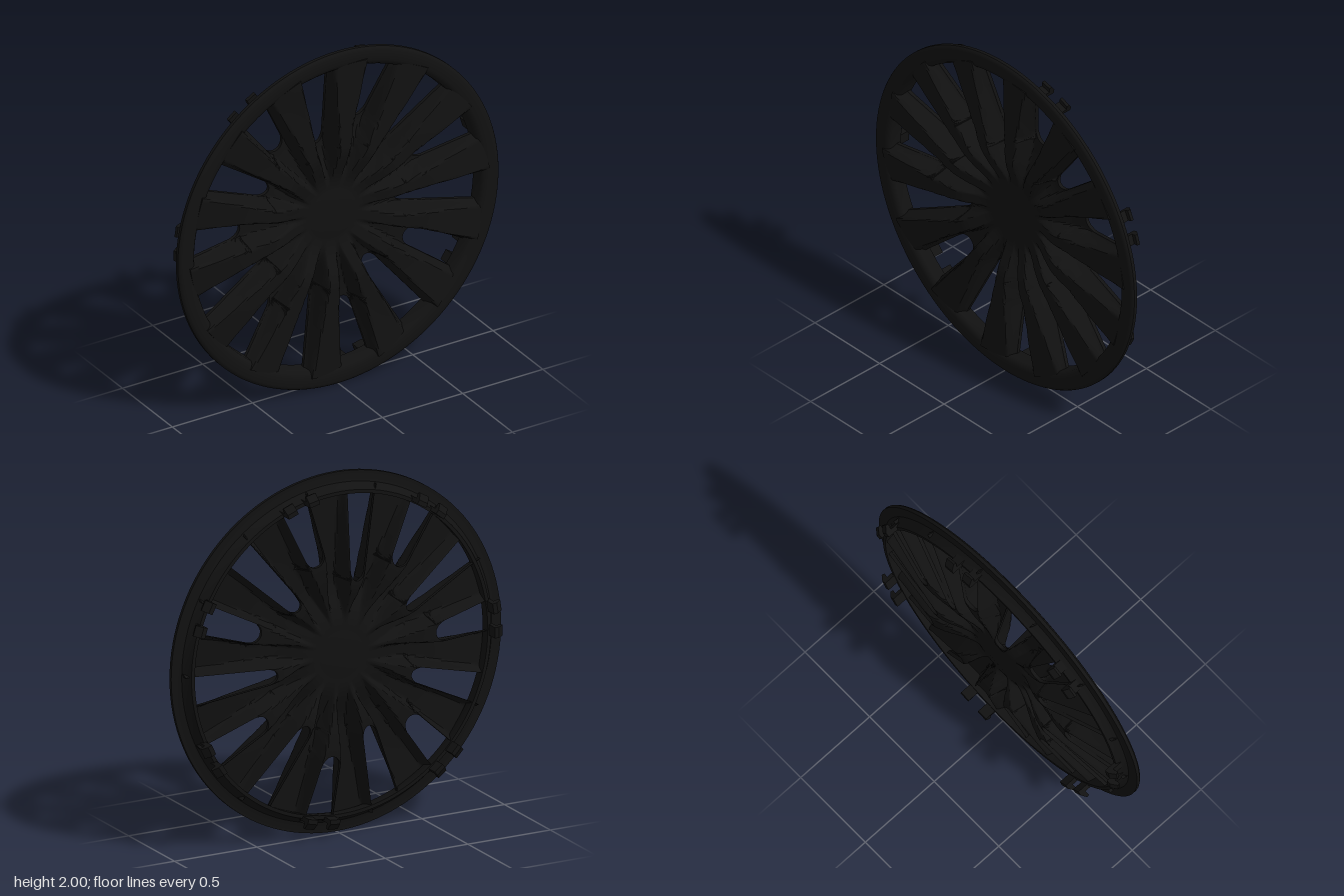
import * as THREE from 'three';
import { toCreasedNormals } from 'three/addons/utils/BufferGeometryUtils.js';

const DEG = Math.PI / 180;
const STEP = 360 / 14;      // angle between windows
const FIRST = -4.7;         // centre of the first (long) window
const HALF = 5.3;           // half angle of a window
const smooth = (a, b, x) => THREE.MathUtils.smoothstep(x, a, b);
const mix = THREE.MathUtils.lerp;

// Long and short windows alternate
const innerRadius = i => (i % 2 === 0 ? 0.42 : 0.55);

// Half angle of the opening, with a rounded inner end
function opening(r, r0) {
  if (r <= r0) return 0;
  const t = Math.min(1, (r - r0) / 0.06);
  return HALF * Math.sqrt(1 - (1 - t) ** 2);
}

// Half angle and depth of the valley leading from the hub into a window
const valley = (r, r0) => Math.max(opening(r, r0), HALF * smooth(0.12, r0 + 0.06, r));
function floor(r, r0) {
  const deep = r0 < 0.5 ? -0.064 : -0.05;
  return r < r0 + 0.03 ? deep * smooth(0.18, r0, r) : mix(deep, 0.012, Math.min(1, (r - r0 - 0.03) / (0.86 - r0)));
}

// One spoke: lofted closed sections from the hub to the slanted tip
function spokeGeometry(i) {
  const rows = [];
  for (let r = 0.1; r < 0.41; r += 0.03) rows.push(r);
  for (const r0 of [0.42, 0.55]) for (const d of [0, 0.003, 0.008, 0.016, 0.027, 0.042, 0.06, 0.09]) rows.push(r0 + d);
  for (let r = 0.68; r < 0.925; r += 0.03) rows.push(r);
  const N = 24, M = 2 * (N + 1), pos = [], idx = [];
  const cwCentre = FIRST + STEP * i, ccwCentre = cwCentre + STEP;
  const r0cw = innerRadius(i), r0ccw = innerRadius(i + 1);

  for (const row of rows) {
    const section = [];
    for (let j = 0; j <= N; j++) {
      const u = 0.5 - 0.5 * Math.cos(Math.PI * j / N);
      const tip = mix(0.938, 0.905, u);
      const r = row < 0.8 ? row : 0.8 + (row - 0.8) * (tip - 0.8) / 0.12;
      const a = mix(cwCentre + opening(row, r0cw), ccwCentre - opening(row, r0ccw), u);
      // crown of the spoke, tilted so the clockwise side stands proud
      const tilt = (0.5 - u) * 0.024 * smooth(0.4, 0.9, r);
      let z = 0.068 * smooth(0.16, 0.42, r) + tilt;
      // side walls falling into the neighbouring valleys
      const width = Math.min(0.03, r * 0.09);
      const dCw = r * DEG * (a - cwCentre - valley(row, r0cw));
      const dCcw = r * DEG * (ccwCentre - valley(row, r0ccw) - a);
      const top = z;
      z -= (top - floor(r, r0cw)) * (1 - smooth(0, width, dCw));
      z -= (top - floor(r, r0ccw)) * (1 - smooth(0, width, dCcw));
      section.push([r * Math.cos(a * DEG), r * Math.sin(a * DEG), z]);
    }
    section.forEach(p => pos.push(...p));
    section.reverse().forEach(([x, y, z]) => pos.push(x, y, z - 0.02));
  }
  for (let k = 0; k < rows.length - 1; k++) {
    for (let j = 0; j < M; j++) {
      const n = (j + 1) % M, a = k * M + j, d = k * M + n;
      idx.push(a, a + M, d + M, a, d + M, d);
    }
  }
  // tip cap
  const last = (rows.length - 1) * M;
  for (let j = 0; j < N; j++) {
    const f = last + j, b = last + M - 1 - j;
    idx.push(f, b, b - 1, f, b - 1, f + 1);
  }
  const g = new THREE.BufferGeometry();
  g.setAttribute('position', new THREE.Float32BufferAttribute(pos, 3));
  g.setIndex(idx);
  return toCreasedNormals(g, 0.7);
}

// Profile of [radius, z] pairs turned about the z axis
function turned(profile, segments) {
  const g = new THREE.LatheGeometry(profile.map(p => new THREE.Vector2(...p)), segments);
  g.rotateX(Math.PI / 2);
  return toCreasedNormals(g, 0.6);
}

export function createModel() {
  const model = new THREE.Group();
  model.name = 'wheelCover';
  const wheel = new THREE.Group();
  wheel.name = 'wheel';
  wheel.position.y = 1;
  model.add(wheel);
  const material = new THREE.MeshStandardMaterial({ color: 0x111111 });
  const add = (name, geometry, parent = wheel) => {
    const mesh = new THREE.Mesh(geometry, material);
    mesh.name = name;
    parent.add(mesh);
    return mesh;
  };

  // Outer rim with a raised lip behind
  add('rim', turned([
    [0.893, 0.045], [0.888, -0.02], [0.908, -0.02], [0.918, 0.005], [0.94, 0.03], [0.965, 0.036],
    [1, 0.036], [1, 0.055], [0.994, 0.063], [0.98, 0.068], [0.925, 0.068], [0.905, 0.06], [0.893, 0.045],
  ], 128));

  // Dished hub
  add('hub', turned([
    [0, -0.022], [0.12, -0.022], [0.15, -0.018], [0.15, 0], [0.12, 0.003], [0, 0.005],
  ], 64));

  // Fourteen spokes
  for (let i = 0; i < 14; i++) add('spoke', spokeGeometry(i));

  // Seven pairs of retaining clips behind the rim, beside the short windows
  const hook = new THREE.Shape([
    [0.895, 0.02], [0.895, -0.085], [0.92, -0.085], [0.955, -0.06], [0.95, -0.045], [0.92, -0.05], [0.92, 0.02],
  ].map(p => new THREE.Vector2(...p)));
  const clipGeometry = new THREE.ExtrudeGeometry(hook, { depth: 0.06, bevelEnabled: false });
  clipGeometry.translate(0, 0, -0.03);
  clipGeometry.rotateX(Math.PI / 2);
  for (let k = 0; k < 7; k++) {
    for (const side of [-1, 1]) {
      const clip = add('clip', clipGeometry);
      clip.rotation.z = (FIRST + STEP * (2 * k + 1) + 0.7 + side * 4.3) * DEG;
    }
  }
  return model;
}
